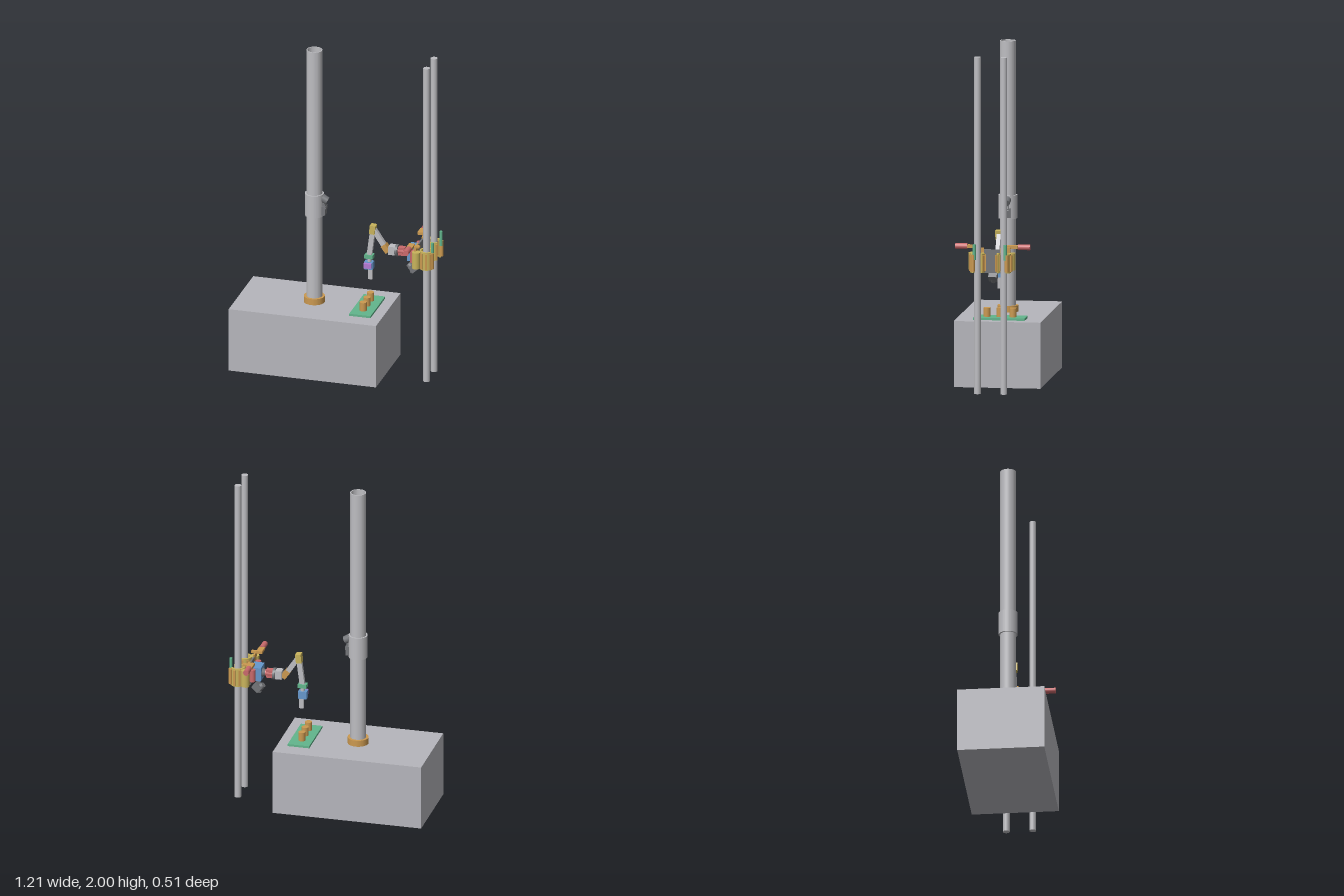
import * as THREE from 'three';

const mat = (name, color, side = THREE.FrontSide) => {
  const m = new THREE.MeshStandardMaterial({ color, side });
  m.name = name;
  return m;
};

export function createModel() {
  const root = new THREE.Group();
  root.name = 'robotOnRails';
  const grey = mat('baseGrey', 0xb6b6bc);
  const light = mat('lightGrey', 0xbdbdc1);
  const dark = mat('darkGrey', 0x74767a);
  const orange = mat('orange', 0xcb9950);
  const yellow = mat('yellow', 0xc9b45c);
  const green = mat('green', 0x62b58c);
  const red = mat('red', 0xca6a6c);
  const blue = mat('blue', 0x6698cc);
  const purple = mat('purple', 0xb47ad4);

  const add = (name, geo, m, x, y, z, parent = root) => {
    const mesh = new THREE.Mesh(geo, m);
    mesh.name = name;
    mesh.position.set(x, y, z);
    parent.add(mesh);
    return mesh;
  };
  // box from its lower and upper limits on each axis
  const box = (name, m, x0, x1, y0, y1, z0, z1, parent) =>
    add(name, new THREE.BoxGeometry(x1 - x0, y1 - y0, z1 - z0), m,
      (x0 + x1) / 2, (y0 + y1) / 2, (z0 + z1) / 2, parent);
  // cylinder or cone between two points
  const rod = (name, m, a, b, r, r2 = r, parent = root) => {
    const p = new THREE.Vector3(...a), q = new THREE.Vector3(...b);
    const d = q.clone().sub(p), mid = p.clone().add(q).multiplyScalar(0.5);
    const mesh = add(name, new THREE.CylinderGeometry(r2, r, d.length(), 32), m, mid.x, mid.y, mid.z, parent);
    mesh.quaternion.setFromUnitVectors(new THREE.Vector3(0, 1, 0), d.normalize());
    return mesh;
  };
  // flat bar in the x-y plane between two points
  const bar = (name, m, x0, y0, x1, y1, width, depth, parent) => {
    const mesh = add(name, new THREE.BoxGeometry(width, Math.hypot(x1 - x0, y1 - y0), depth), m,
      (x0 + x1) / 2, (y0 + y1) / 2, 0, parent);
    mesh.rotation.z = Math.atan2(y1 - y0, x1 - x0) - Math.PI / 2;
    return mesh;
  };
  // hollow upright tube, closed at both rims
  const tube = (name, m, r, inner, y0, y1, x, z) => {
    const s = new THREE.Shape().absarc(0, 0, r, 0, Math.PI * 2);
    s.holes.push(new THREE.Path().absarc(0, 0, inner, 0, Math.PI * 2, true));
    const g = new THREE.ExtrudeGeometry(s, { depth: y1 - y0, bevelEnabled: false, curveSegments: 24 });
    return add(name, g.rotateX(-Math.PI / 2), m, x, y0, z);
  };
  // upright arc of a ring, angles measured from +x towards +z
  const arc = (name, m, r0, r1, a0, a1, y0, y1, parent) => {
    const s = new THREE.Shape();
    s.absarc(0, 0, r1, a0, a1, false);
    s.absarc(0, 0, r0, a1, a0, true);
    const g = new THREE.ExtrudeGeometry(s, { depth: y1 - y0, bevelEnabled: false, curveSegments: 18 });
    return add(name, g.rotateX(Math.PI / 2), m, 0, y1, 0, parent);
  };

  // base block and hollow mast
  box('baseBlock', grey, -0.607, 0.295, 0, 0.392, -0.258, 0.256);
  tube('mast', light, 0.047, 0.041, 0.39, 2, -0.157, 0);
  tube('mastFoot', orange, 0.062, 0.047, 0.39, 0.43, -0.157, 0);
  tube('mastSleeve', light, 0.056, 0.047, 0.945, 1.085, -0.157, 0);

  // camera on the mast
  const cam = new THREE.Group();
  cam.name = 'mastCamera';
  root.add(cam);
  add('cameraBall', new THREE.SphereGeometry(0.023, 24, 16), dark, -0.097, 1.05, 0, cam);
  rod('cameraLens', dark, [-0.11, 1.06, 0], [-0.076, 1.043, 0], 0.026, 0.022, cam);
  bar('cameraNeck', dark, -0.1, 1.03, -0.09, 0.995, 0.018, 0.03, cam);
  bar('cameraBody', dark, -0.095, 1.01, -0.1, 0.955, 0.025, 0.046, cam);

  // button panel
  box('buttonPanel', green, 0.1, 0.231, 0.392, 0.405, -0.155, 0.152);
  for (const z of [-0.077, 0, 0.077]) rod('button', orange, [0.165, 0.404, z], [0.165, 0.458, z], 0.021);

  // rails, clamps and handles, mirrored front to back
  const clampY0 = 0.722, clampY1 = 0.835;
  for (const s of [-1, 1]) {
    rod('rail', light, [0.553, 0, s * 0.078], [0.553, 2, s * 0.078], 0.02);

    const clamp = new THREE.Group();
    clamp.name = 'railClamp';
    clamp.position.set(0.553, 0, s * 0.078);
    root.add(clamp);
    const span = (a, b) => (s > 0 ? [a, b] : [-b, -a]);
    arc('clampJaw', yellow, 0.031, 0.043, ...span(0.5, 5.5), clampY0, clampY1, clamp);
    // ribs standing out from the jaw
    for (const a of [0.75, 1.35, 2.0, 2.6, 4.1, 4.75, 5.3])
      arc('clampRib', orange, 0.04, 0.051, ...span(a - 0.13, a + 0.13), clampY0 + 0.008, clampY1 - 0.008, clamp);
    for (const a of [1.05, 3.14, 4.45])
      arc('clampPad', orange, 0.024, 0.033, ...span(a - 0.2, a + 0.2), clampY0 + 0.01, clampY1 - 0.01, clamp);
    rod('clampHinge', yellow, [0.499, 0.73, s * 0.113], [0.499, 0.832, s * 0.113], 0.025);
    rod('clampLink', orange, [0.592, 0.73, s * 0.1], [0.592, 0.83, s * 0.1], 0.011);
    rod('clampPin', green, [0.592, 0.8, s * 0.092], [0.592, 0.892, s * 0.092], 0.009);

    rod('handleGrip', red, [0.467, 0.863, s * 0.15], [0.467, 0.863, s * 0.222], 0.017);
    box('handleMount', orange, 0.449, 0.485, 0.855, 0.872, s * 0.118 - 0.033, s * 0.118 + 0.033);
    box('handleBracket', orange, 0.482, 0.518, 0.855, 0.866, s * 0.1 - 0.012, s * 0.1 + 0.012);
    rod('motor', red, [0.467, 0.745, s * 0.068], [0.467, 0.82, s * 0.068], 0.017);
    box('sideBracket', orange, 0.486, 0.496, 0.718, 0.86, s * 0.078 - 0.03, s * 0.078 + 0.03);
  }

  // carriage between the rails
  box('carriagePlate', dark, 0.485, 0.495, 0.71, 0.85, -0.05, 0.05);
  box('driveBox', blue, 0.423, 0.486, 0.738, 0.822, -0.045, 0.045);
  bar('lowerCameraBody', dark, 0.472, 0.7, 0.437, 0.668, 0.042, 0.05);
  rod('lowerCameraLens', dark, [0.445, 0.676, 0], [0.418, 0.7, 0], 0.022, 0.016);
  rod('lowerCameraTip', dark, [0.45, 0.672, 0], [0.44, 0.648, 0], 0.02, 0.012);

  // shoulder of the arm
  rod('shoulderCone', dark, [0.425, 0.779, 0], [0.403, 0.779, 0], 0.028, 0.018);
  rod('shoulderMotor', red, [0.405, 0.779, 0], [0.355, 0.779, 0], 0.019);
  box('shoulderCover', red, 0.36, 0.4, 0.754, 0.804, -0.017, 0.017);
  rod('shoulderFlange', dark, [0.357, 0.779, 0], [0.342, 0.779, 0], 0.036);
  box('shoulderBody', light, 0.302, 0.343, 0.754, 0.806, -0.025, 0.025);

  // arm links and joints
  bar('shoulderJoint', orange, 0.298, 0.765, 0.268, 0.806, 0.034, 0.04);
  bar('upperArm', light, 0.29, 0.772, 0.208, 0.895, 0.03, 0.024);
  bar('elbow', yellow, 0.199, 0.87, 0.205, 0.924, 0.034, 0.042);
  bar('forearm', light, 0.201, 0.885, 0.181, 0.73, 0.03, 0.024);
  box('wrist', green, 0.154, 0.206, 0.71, 0.734, -0.02, 0.02);
  rod('wristShaft', light, [0.18, 0.715, 0], [0.18, 0.68, 0], 0.012);

  // gripper
  box('gripperDrive', blue, 0.152, 0.204, 0.642, 0.688, -0.02, 0.02);
  box('gripperMotor', purple, 0.154, 0.2, 0.656, 0.685, 0.02, 0.04);
  box('gripperFinger', light, 0.174, 0.2, 0.577, 0.645, -0.009, 0.009);

  return root;
}
